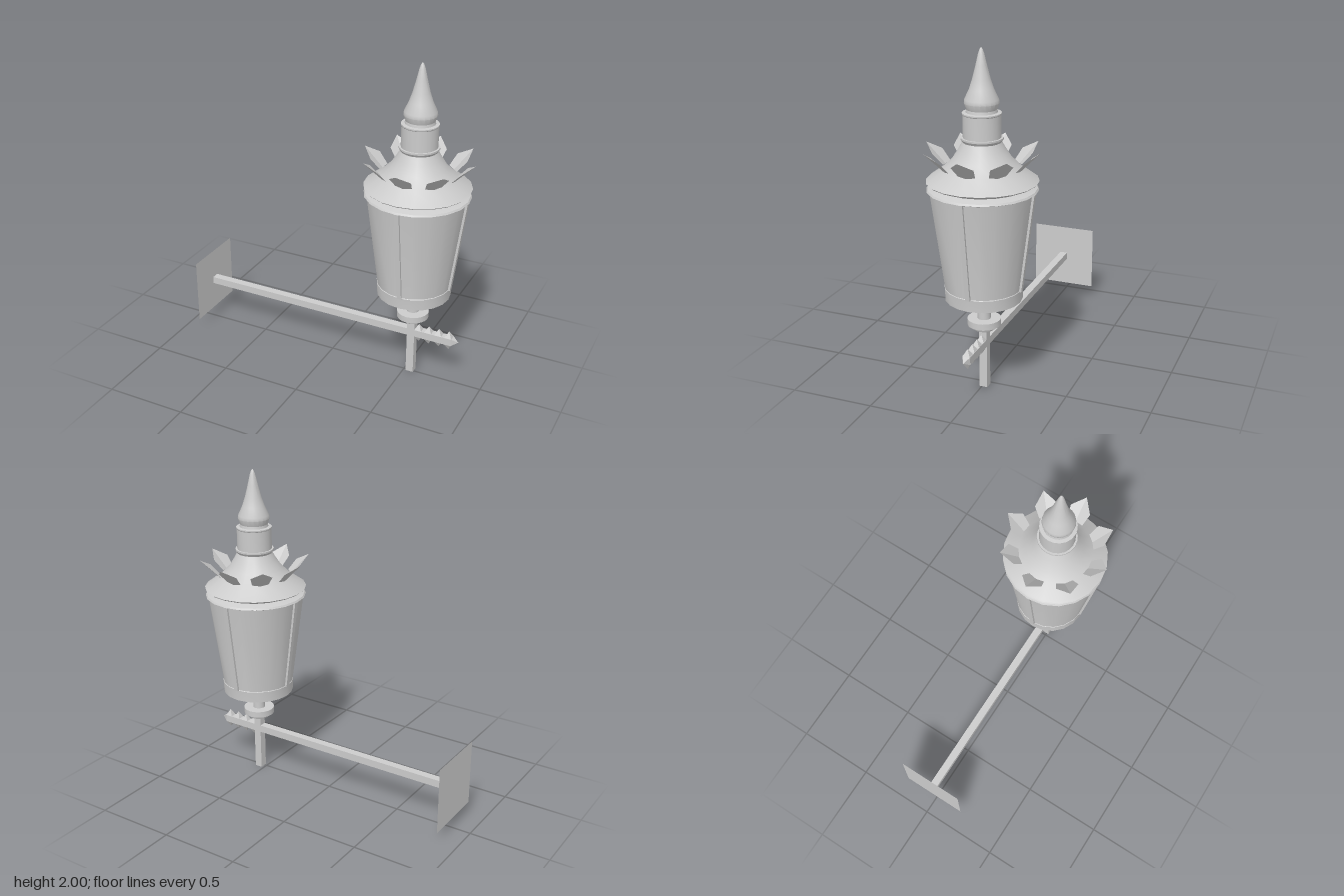
import * as THREE from 'three';
import { toCreasedNormals } from 'three/addons/utils/BufferGeometryUtils.js';

const AXIS_X = 0.54, AXIS_Z = -0.01, SIDES = 20;

export function createModel() {
  const model = new THREE.Group();
  model.name = 'wallLantern';
  const mat = new THREE.MeshStandardMaterial({ color: 0xcccccc });
  const thin = new THREE.MeshStandardMaterial({ color: 0xcccccc, side: THREE.DoubleSide });

  const add = (parent, name, geo, x = 0, y = 0, z = 0, material = mat) => {
    const mesh = new THREE.Mesh(geo, material);
    mesh.name = name;
    mesh.position.set(x, y, z);
    parent.add(mesh);
    return mesh;
  };
  const turned = (name, profile) => {
    const geo = new THREE.LatheGeometry(profile.map(([r, y]) => new THREE.Vector2(r, y)), SIDES);
    return add(lantern, name, toCreasedNormals(geo, 0.5));
  };

  // Wall bracket: plate, arm and post
  const bracket = new THREE.Group();
  bracket.name = 'bracket';
  bracket.position.z = AXIS_Z;
  model.add(bracket);
  const plate = add(bracket, 'wallPlate', new THREE.PlaneGeometry(0.415, 0.415), -0.888, 0.287, 0, thin);
  plate.rotation.y = Math.PI / 2;
  add(bracket, 'arm', new THREE.BoxGeometry(1.685, 0.046, 0.048), -0.0425, 0.285, 0);
  add(bracket, 'post', new THREE.BoxGeometry(0.048, 0.38, 0.048), AXIS_X, 0.19, 0);

  // Barbs above and below the arm's free end, and its point
  const pyramid = (r, h) => toCreasedNormals(new THREE.ConeGeometry(r, h, 4).rotateY(Math.PI / 4), 0.3);
  for (let i = 0; i < 4; i++) {
    for (const s of [1, -1]) {
      const barb = add(bracket, 'barb', pyramid(0.032, 0.04), 0.585 + i * 0.065, 0.285 + s * 0.042, 0);
      if (s < 0) barb.rotation.x = Math.PI;
    }
  }
  add(bracket, 'armPoint', pyramid(0.034, 0.042), 0.82, 0.285, 0).rotation.z = -Math.PI / 2;

  const lantern = new THREE.Group();
  lantern.name = 'lantern';
  lantern.position.set(AXIS_X, 0, AXIS_Z);
  model.add(lantern);

  // Stepped support under the body
  turned('support', [
    [0, 0.37], [0.062, 0.37], [0.072, 0.395], [0.097, 0.397], [0.097, 0.435], [0.038, 0.435],
    [0.038, 0.488], [0.03, 0.488], [0.029, 0.535], [0.024, 0.535], [0.024, 0.57],
  ]);

  // Tapered body with a band at the foot
  turned('body', [[0, 0.565], [0.222, 0.565], [0.225, 0.635], [0.222, 0.638], [0.298, 1.215], [0, 1.215]]);

  // Four ribs following the taper
  const slope = Math.atan2(0.076, 0.577);
  for (let i = 0; i < 4; i++) {
    const pivot = new THREE.Group();
    pivot.name = 'ribPivot';
    pivot.rotation.y = i * Math.PI / 2;
    lantern.add(pivot);
    add(pivot, 'rib', new THREE.BoxGeometry(0.028, 0.585, 0.022), 0, 0.925, 0.26).rotation.x = slope;
  }

  // Double rim and sweeping roof up to the collar
  turned('roof', [
    [0.295, 1.208], [0.312, 1.215], [0.305, 1.225], [0.262, 1.24], [0.305, 1.258], [0.314, 1.266],
    [0.302, 1.275], [0.22, 1.335], [0.165, 1.39], [0.13, 1.445], [0.108, 1.485], [0.118, 1.5], [0.118, 1.51],
    [0.106, 1.51],
  ]);
  turned('chimney', [[0.106, 1.5], [0.106, 1.635], [0.109, 1.64], [0.109, 1.647], [0.088, 1.65]]);
  turned('finial', [
    [0.088, 1.645], [0.084, 1.665], [0.097, 1.7], [0.094, 1.72], [0.068, 1.775], [0.05, 1.83],
    [0.032, 1.9], [0.017, 1.965], [0.008, 1.99], [0, 2],
  ]);

  // Crown of eight pointed leaves, each slightly folded along its middle
  const leaf = new THREE.PlaneGeometry(1, 1, 2, 2);
  const rows = [[0, 0.163], [0.066, 0.082], [0.05, 0]]; // half width, height
  const pos = leaf.attributes.position;
  for (let i = 0; i < pos.count; i++) {
    const [half, h] = rows[Math.floor(i / 3)];
    const side = (i % 3) - 1;
    pos.setXYZ(i, side * half, h, -0.2 * Math.abs(side) * half);
  }
  const leafGeo = toCreasedNormals(leaf, 0.1);
  for (let i = 0; i < 8; i++) {
    const pivot = new THREE.Group();
    pivot.name = 'leafPivot';
    pivot.rotation.y = i * Math.PI / 4;
    lantern.add(pivot);
    add(pivot, 'crownLeaf', leafGeo, 0, 1.335, 0.222, thin).rotation.x = Math.PI / 4;
  }

  return model;
}
